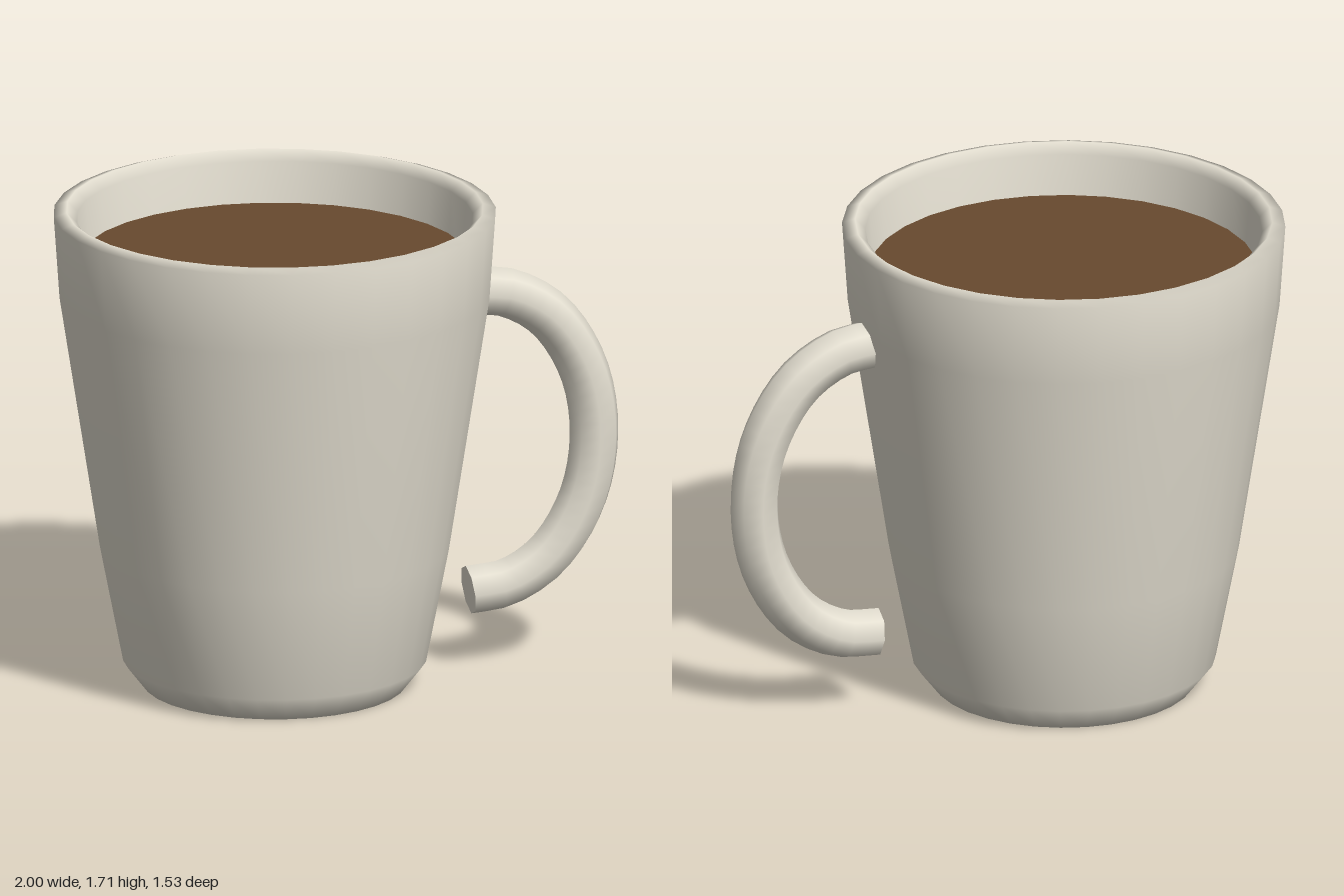
import * as THREE from 'three';

const CUP_X = -0.235;

export function createModel() {
  const group = new THREE.Group();
  const ceramic = new THREE.MeshStandardMaterial({ color: 0xe4dfd1 });
  ceramic.name = 'cream ceramic';
  const coffee = new THREE.MeshStandardMaterial({ color: 0x684a2f });
  coffee.name = 'coffee brown';

  const add = (name, geometry, material, parent = group) => {
    const mesh = new THREE.Mesh(geometry, material);
    mesh.name = name;
    parent.add(mesh);
    return mesh;
  };

  // Cup wall: outside from the base up, over the rim, down to the inner floor
  const profile = [
    [0, 0], [0.455, 0], [0.525, 0.09], [0.605, 0.5], [0.745, 1.4],
    [0.765, 1.69], [0.72, 1.705], [0.685, 1.67], [0.665, 1.4],
    [0.53, 0.5], [0.46, 0.12], [0, 0.1],
  ].map(([r, y]) => new THREE.Vector2(r, y));
  add('cup', new THREE.LatheGeometry(profile, 32), ceramic).position.x = CUP_X;

  // Drink surface just below the rim
  const drink = add('drink', new THREE.CircleGeometry(0.67, 32), coffee);
  drink.rotation.x = -Math.PI / 2;
  drink.position.set(CUP_X, 1.525, 0);

  // Handle: round tube along a half oval, its lower end standing free
  const handle = new THREE.Group();
  handle.name = 'handle';
  group.add(handle);
  const path = new THREE.CatmullRomCurve3([
    [0.46, 0.275], [0.6, 0.292], [0.75, 0.385], [0.87, 0.58], [0.91, 0.815],
    [0.87, 1.045], [0.75, 1.24], [0.6, 1.333], [0.48, 1.35],
  ].map(([x, y]) => new THREE.Vector3(x, y, 0)));
  const radius = 0.087;
  add('handleTube', new THREE.TubeGeometry(path, 28, radius, 8, false), ceramic, handle);

  // Flat caps closing both tube ends
  for (const [name, t, sign] of [['lowerCap', 0, -1], ['upperCap', 1, 1]]) {
    const cap = add(name, new THREE.CircleGeometry(radius, 8), ceramic, handle);
    const outward = path.getTangentAt(t).multiplyScalar(sign);
    cap.position.copy(path.getPointAt(t));
    cap.lookAt(cap.position.clone().add(outward));
  }
  return group;
}
